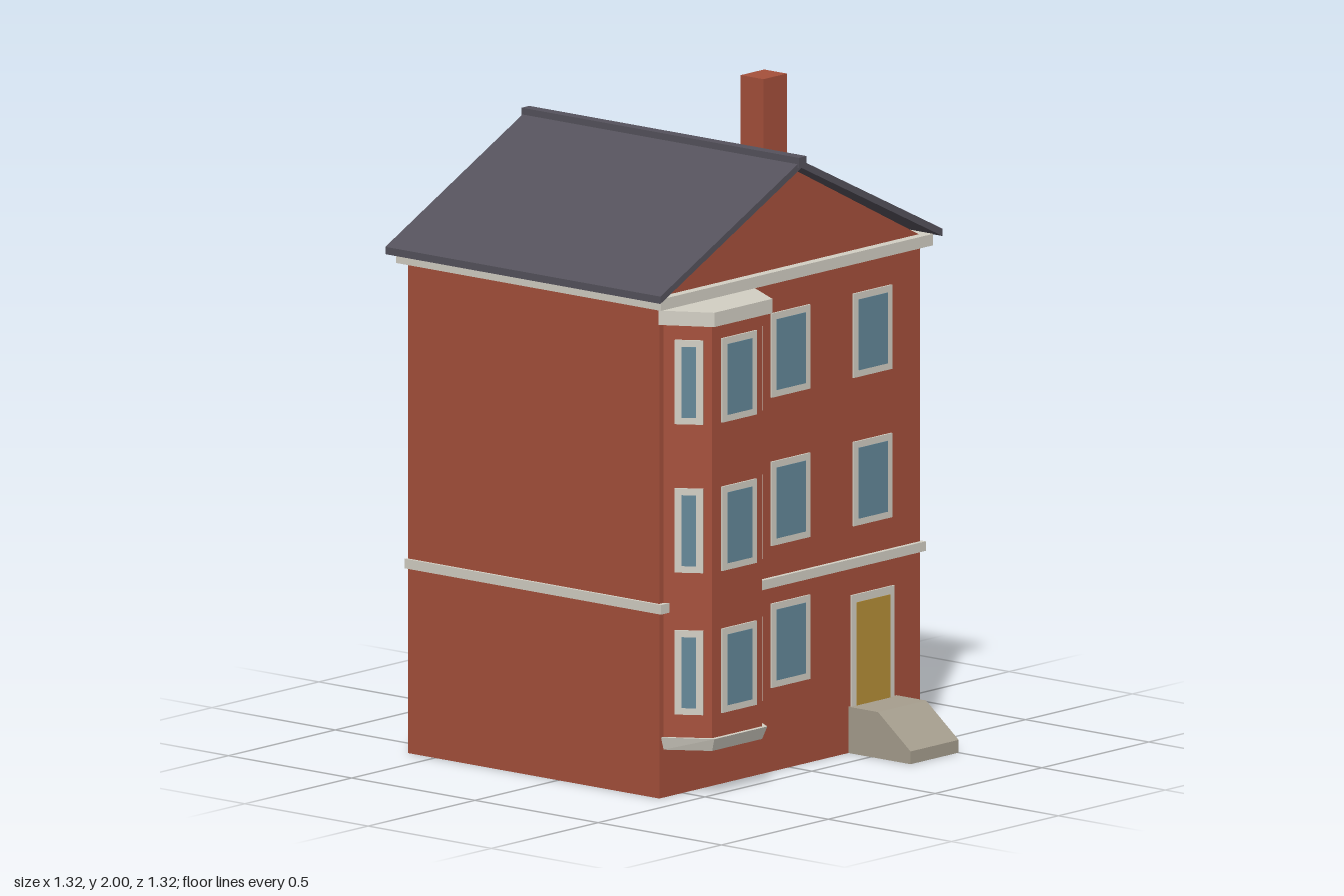
import * as THREE from 'three';

const mat = (name, color, side = THREE.FrontSide) => {
  const m = new THREE.MeshStandardMaterial({ color, side });
  m.name = name;
  return m;
};

// Remove the faces that point straight down, leaving the shell open below
function openBottom(geometry) {
  const g = geometry.index ? geometry.toNonIndexed() : geometry;
  const p = g.attributes.position, keep = [];
  const a = new THREE.Vector3(), b = new THREE.Vector3(), c = new THREE.Vector3();
  for (let i = 0; i < p.count; i += 3) {
    a.fromBufferAttribute(p, i);
    b.fromBufferAttribute(p, i + 1).sub(a);
    c.fromBufferAttribute(p, i + 2).sub(a);
    if (b.cross(c).normalize().y > -0.9) keep.push(i, i + 1, i + 2);
  }
  g.setIndex(keep);
  g.clearGroups();
  return g;
}

// Extrude an outline of [x, y] pairs along z from z0 to z1
function extrude(points, z0, z1) {
  const shape = new THREE.Shape(points.map(([x, y]) => new THREE.Vector2(x, y)));
  return new THREE.ExtrudeGeometry(shape, { depth: z1 - z0, bevelEnabled: false }).translate(0, 0, z0);
}

const WALL_Z = 0.41, BAY_X = -0.39;

// Bay plan: four [x, z] corners, from the wall round the front and back
const bayPlan = (half, front, z) => [[-half, WALL_Z], [-front, z], [front, z], [half, WALL_Z]]
  .map(([x, d]) => [x + BAY_X, d]);

// Solid between two bay plans, without a back face
function baySolid(lower, upper, y0, y1) {
  const low = lower.map(([x, z]) => [x, y0, z]), up = upper.map(([x, z]) => [x, y1, z]);
  const pos = [];
  const quad = (a, b, c, d) => pos.push(...a, ...b, ...c, ...a, ...c, ...d);
  for (let i = 0; i < 3; i++) quad(low[i], low[i + 1], up[i + 1], up[i]);
  quad(...up);
  quad(...low.reverse());
  const g = new THREE.BufferGeometry();
  g.setAttribute('position', new THREE.Float32BufferAttribute(pos, 3));
  g.computeVertexNormals();
  return g;
}

export function createModel() {
  const house = new THREE.Group();
  house.name = 'townHouse';
  const brick = mat('brick red', 0xa5503b, THREE.DoubleSide);
  const slate = mat('slate grey', 0x55525c);
  const stone = mat('pale stone', 0xd3cfc4);
  const step = mat('step stone', 0xa69e8e, THREE.DoubleSide);
  const glass = mat('window blue', 0x648899);
  const paint = mat('door ochre', 0xb58e38);

  const add = (name, geometry, material, parent = house) => {
    const m = new THREE.Mesh(geometry, material);
    m.name = name;
    parent.add(m);
    return m;
  };
  // Box given by its limits on each axis
  const box = (name, [x0, x1], [y0, y1], [z0, z1], material) => add(name,
    new THREE.BoxGeometry(x1 - x0, y1 - y0, z1 - z0)
      .translate((x0 + x1) / 2, (y0 + y1) / 2, (z0 + z1) / 2), material);

  // Walls, open underneath
  add('walls', openBottom(new THREE.BoxGeometry(1.22, 1.54, 1.02).translate(0, 0.77, -0.1)), brick);

  // Gables, eaves band, roof and ridge
  add('gables', extrude([[-0.61, 1.57], [0.61, 1.57], [0, 1.88]], -0.61, WALL_Z), brick);
  box('eavesBand', [-0.637, 0.637], [1.537, 1.573], [-0.635, 0.44], stone);
  add('roof', extrude([[-0.66, 1.565], [0, 1.885], [0.66, 1.565],
    [0.66, 1.588], [0, 1.908], [-0.66, 1.588]], -0.658, 0.458), slate);
  box('ridgeCap', [-0.018, 0.018], [1.888, 1.92], [-0.662, 0.463], slate);
  box('chimney', [0.5, 0.61], [1.58, 2], [-0.222, -0.13], brick);

  // String course on the front and both sides
  box('frontStringCourse', [-0.62, 0.62], [0.58, 0.61], [WALL_Z, 0.425], stone);
  for (const s of [-1, 1]) {
    const x = [0.61 * s, 0.62 * s].sort((a, b) => a - b);
    box('sideStringCourse', x, [0.58, 0.61], [-0.615, 0.425], stone);
  }

  // Bay with a flared base and a cornice
  const plan = bayPlan(0.2, 0.117, 0.535);
  add('bayBase', baySolid(plan, bayPlan(0.212, 0.124, 0.55), 0.15, 0.19), stone);
  add('bayWalls', baySolid(plan, plan, 0.19, 1.485), brick);
  const cornice = bayPlan(0.223, 0.136, 0.56);
  add('bayCornice', baySolid(cornice, cornice, 1.485, 1.53), stone);

  // Framed windows as thin plates
  const addWindow = (x, y, z, width, turn = 0, border = 0.022) => {
    const g = new THREE.Group();
    g.name = 'window';
    add('windowFrame', new THREE.BoxGeometry(width, 0.264, 0.006).translate(0, 0, 0.003), stone, g);
    add('windowPane', new THREE.BoxGeometry(width - border * 2, 0.222, 0.004).translate(0, 0, 0.006), glass, g);
    g.position.set(x, y, z);
    g.rotation.y = turn;
    house.add(g);
  };
  const facetTurn = Math.atan2(0.125, 0.083);
  [0.395, 0.84, 1.305].forEach((y, floor) => {
    addWindow(BAY_X + 0.005, y, 0.535, 0.16);
    for (const s of [-1, 1]) addWindow(BAY_X + s * 0.1585, y, 0.4775, 0.088, s * facetTurn);
    addWindow(0, y, WALL_Z, 0.18);
    if (floor > 0) addWindow(0.384, y, WALL_Z, 0.18);
  });

  // Door and its front step
  box('doorFrame', [0.284, 0.484], [0.14, 0.493], [WALL_Z, 0.416], stone);
  box('door', [0.306, 0.463], [0.14, 0.468], [WALL_Z, 0.418], paint);
  const profile = [[-WALL_Z, 0], [-WALL_Z, 0.145], [-0.53, 0.145], [-0.662, 0.04], [-0.662, 0]];
  const steps = openBottom(extrude(profile, 0.275, 0.5).rotateY(Math.PI / 2));
  add('frontSteps', steps, step);

  return house;
}
